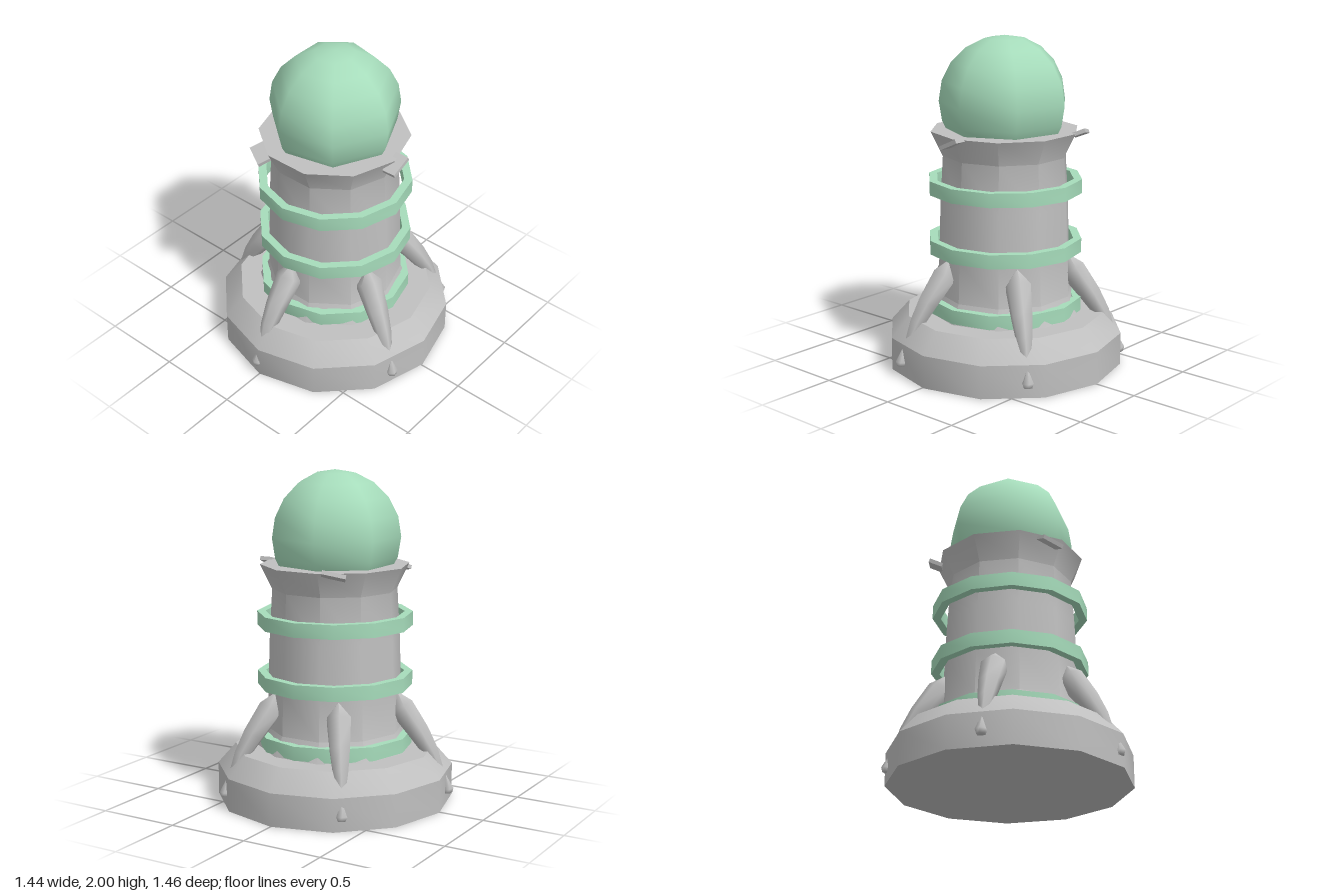
import * as THREE from 'three';
import { toCreasedNormals } from 'three/addons/utils/BufferGeometryUtils.js';

const stone = new THREE.MeshStandardMaterial({ name: 'grey stone', color: 0xc0c0c0 });
const mint = new THREE.MeshStandardMaterial({ name: 'mint green', color: 0xa6dcbb });

// Turned part with hard profile edges and smooth sides
function turned(name, profile, sides, material) {
  const points = profile.map(([r, y]) => new THREE.Vector2(r, y));
  const lathe = new THREE.LatheGeometry(points, sides, Math.PI / 2);
  const mesh = new THREE.Mesh(toCreasedNormals(lathe, 0.7), material);
  mesh.name = name;
  return mesh;
}

// Tapered limb in the y-z plane: stations are [z, y, radius]
function taperedLimb(stations, sides) {
  const pos = [], index = [];
  stations.forEach(([z, y, r], i) => {
    const a = stations[Math.max(i - 1, 0)], b = stations[Math.min(i + 1, stations.length - 1)];
    const len = Math.hypot(b[0] - a[0], b[1] - a[1]);
    const nz = -(b[1] - a[1]) / len, ny = (b[0] - a[0]) / len; // outward side of the bend
    for (let j = 0; j < sides; j++) {
      const t = (j / sides) * Math.PI * 2;
      pos.push(Math.sin(t) * r, y + ny * Math.cos(t) * r, z + nz * Math.cos(t) * r);
      if (i === 0) continue;
      const k = (j + 1) % sides, p = (i - 1) * sides, q = i * sides;
      index.push(p + j, q + j, p + k, p + k, q + j, q + k);
    }
  });
  const geo = new THREE.BufferGeometry();
  geo.setAttribute('position', new THREE.Float32BufferAttribute(pos, 3));
  geo.setIndex(index);
  geo.computeVertexNormals();
  return geo;
}

export function createModel() {
  const model = new THREE.Group();
  model.name = 'tower';
  const body = new THREE.Group();
  body.name = 'towerBody';
  body.position.z = -0.01;
  model.add(body);

  // Bevelled base and flared column
  body.add(turned('base', [[0, 0], [0.72, 0], [0.72, 0.2], [0.61, 0.325], [0, 0.325]], 12, stone));
  body.add(turned('column', [[0.475, 0.32], [0.415, 0.44], [0.405, 0.7], [0.395, 1.0],
    [0.378, 1.29], [0.45, 1.44], [0, 1.44]], 10, stone));

  // Three bands around the column
  for (const y of [0.33, 0.7, 1.065]) {
    const t = y + 0.085, inner = 0.42, outer = 0.47;
    body.add(turned('band', [[outer, y], [outer, t], [inner, t], [inner, y], [outer, y]], 12, mint));
  }

  // Faceted dome ball
  const ball = new THREE.Mesh(new THREE.SphereGeometry(0.395, 7, 10), mint);
  ball.name = 'ball';
  ball.position.y = 1.605;
  ball.rotation.y = Math.PI;
  body.add(ball);

  // Five curved buttresses with small feet poking out of the base
  const limb = taperedLimb([[0.385, 0.675, 0.001], [0.41, 0.585, 0.08], [0.525, 0.43, 0.066],
    [0.597, 0.315, 0.05], [0.655, 0.2, 0.026], [0.68, 0.12, 0.01]], 6);
  const foot = taperedLimb([[0.69, 0.18, 0.001], [0.705, 0.09, 0.036], [0.708, 0.065, 0.026],
    [0.708, 0.064, 0.001]], 6);
  for (let i = 0; i < 5; i++) {
    const leg = new THREE.Group();
    leg.name = 'buttress';
    const arm = new THREE.Mesh(limb, stone);
    arm.name = 'buttressArm';
    const toe = new THREE.Mesh(foot, stone);
    toe.name = 'buttressFoot';
    leg.add(arm, toe);
    leg.rotation.y = (i * 72 - 2) * Math.PI / 180;
    body.add(leg);
  }

  // Three slanted tiles under the rim, all tipped the same way
  [1.415, 1.43, 1.39].forEach((y, i) => {
    const yaw = (i * Math.PI * 2) / 3;
    const tile = new THREE.Mesh(new THREE.BoxGeometry(0.085, 0.024, 0.14), stone);
    tile.name = 'rimTile';
    tile.position.set(Math.cos(yaw) * 0.455, y, -Math.sin(yaw) * 0.455);
    tile.rotation.set(0.42, yaw, 0);
    body.add(tile);
  });
  return model;
}
